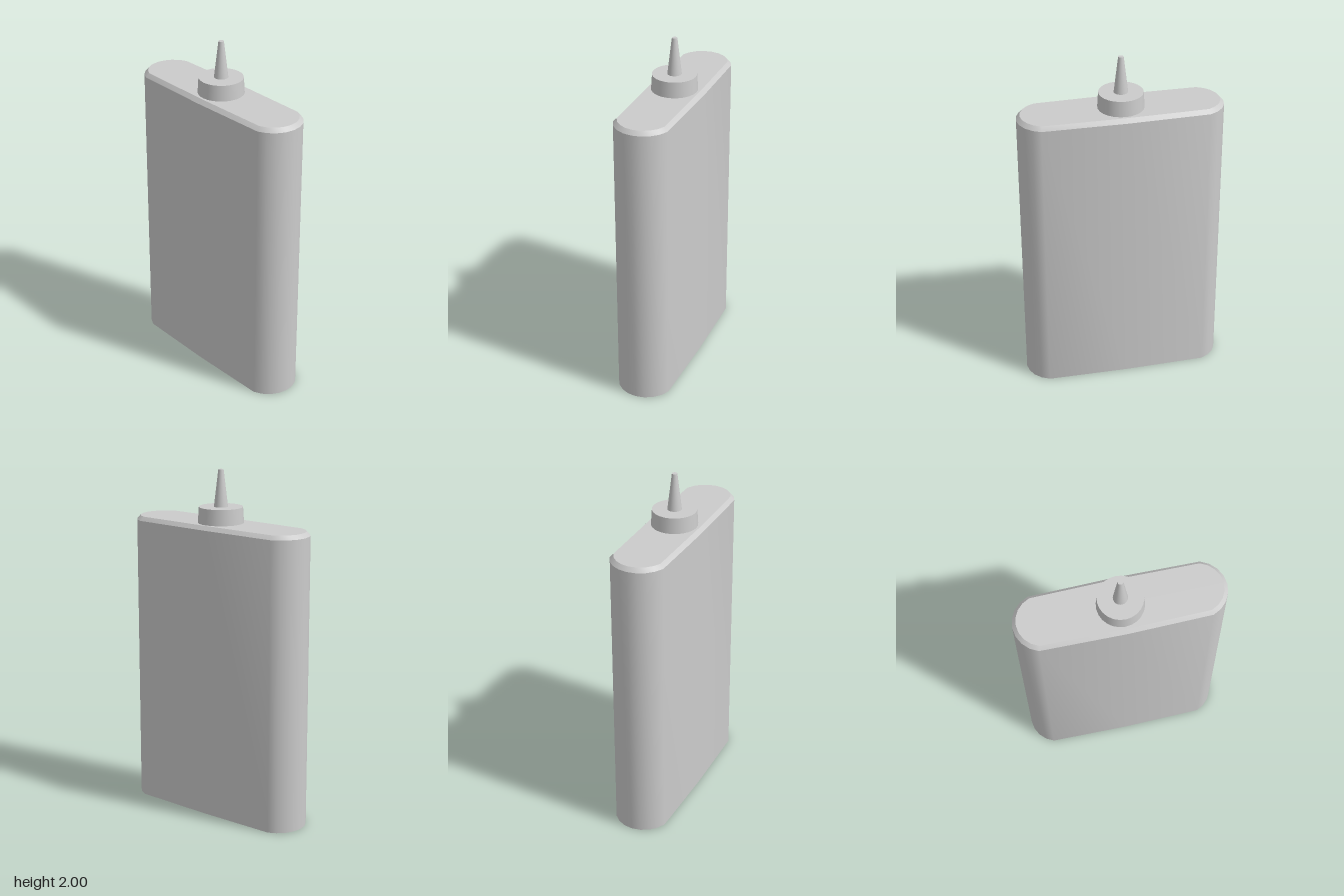
import * as THREE from 'three';
import { toCreasedNormals } from 'three/addons/utils/BufferGeometryUtils.js';

const material = new THREE.MeshStandardMaterial({ color: 0xcccccc });

// Flattened outline: slightly bowed long sides and rounded ends, shrunk by inset
function outline(inset) {
  const points = [];
  const radius = 0.1656 - inset, steps = 4, sweep = 1.248;
  for (const side of [1, -1]) {
    for (let i = -steps; i <= steps; i++) {
      const a = (i / steps) * sweep;
      points.push([side * (0.4174 + radius * Math.cos(a)), side * radius * Math.sin(a)]);
    }
    points.push([0, side * (0.165 - inset)]);
  }
  return points;
}

// Joins stacked outlines and closes both ends
function loft(levels) {
  const rings = levels.map(([y, inset]) => outline(inset).map(([x, z]) => [x, y, z]));
  const n = rings[0].length, last = rings.length - 1, pos = [];
  const tri = (a, b, c) => pos.push(...a, ...b, ...c);
  for (let i = 0; i < n; i++) {
    const j = (i + 1) % n;
    for (let k = 0; k < last; k++) {
      const [a, b, c, d] = [rings[k][i], rings[k][j], rings[k + 1][j], rings[k + 1][i]];
      tri(a, d, c);
      tri(a, c, b);
    }
    tri([0, levels[0][0], 0], rings[0][i], rings[0][j]);
    tri([0, levels[last][0], 0], rings[last][j], rings[last][i]);
  }
  const geometry = new THREE.BufferGeometry();
  geometry.setAttribute('position', new THREE.Float32BufferAttribute(pos, 3));
  return toCreasedNormals(geometry, Math.PI / 6);
}

export function createModel() {
  const model = new THREE.Group();
  const add = (name, geometry, y = 0) => {
    const mesh = new THREE.Mesh(geometry, material);
    mesh.name = name;
    mesh.position.y = y;
    model.add(mesh);
  };

  // Flat bottle with a bevelled shoulder
  add('bottleBody', loft([[0, 0], [1.677, 0], [1.7, 0.021]]));
  // Tapered collar and pointed spout
  add('cap', new THREE.CylinderGeometry(0.125, 0.131, 0.095, 24), 1.7425);
  add('nozzle', new THREE.CylinderGeometry(0.015, 0.04, 0.21, 24), 1.895);
  return model;
}
